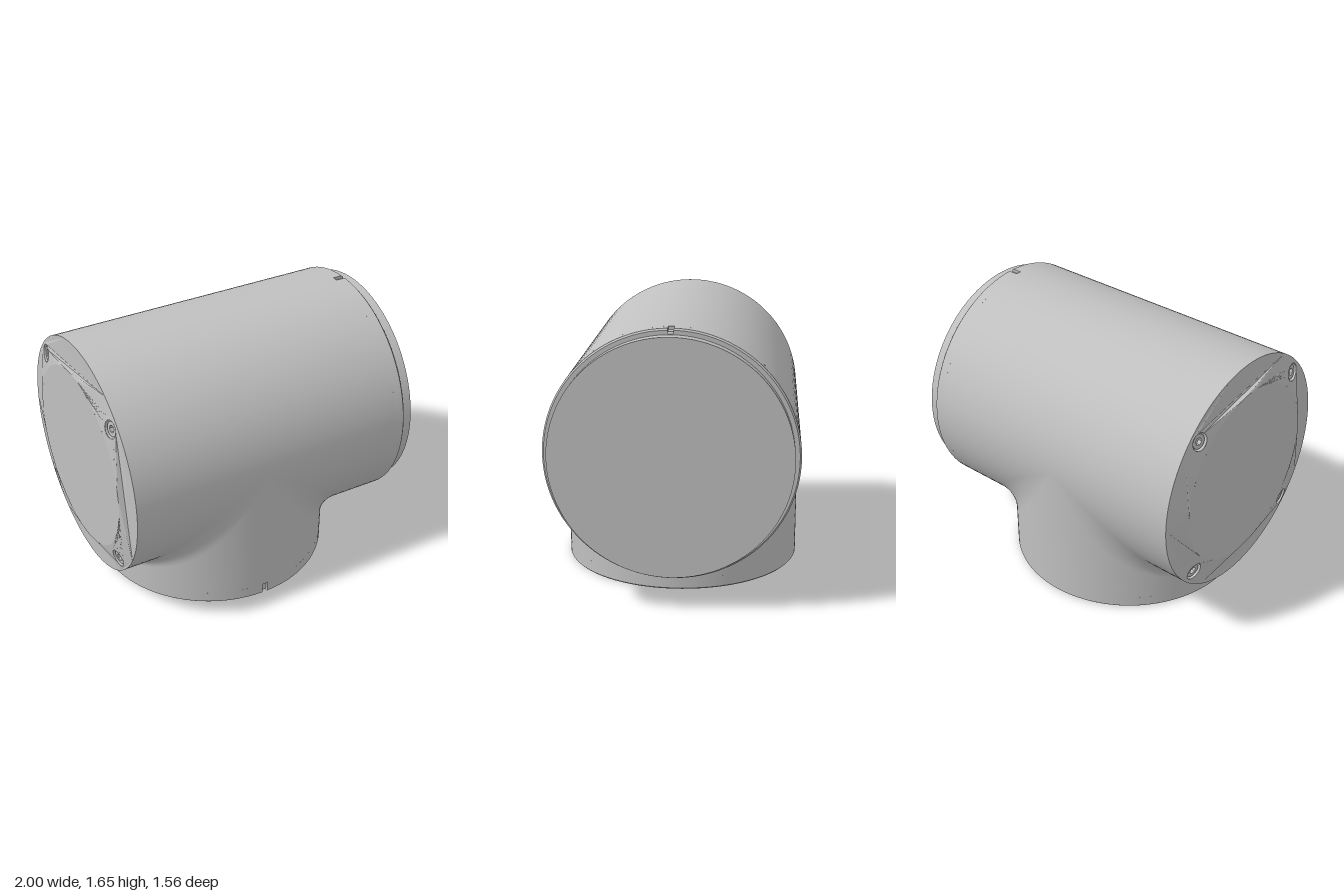
import * as THREE from 'three';
import { toCreasedNormals } from 'three/addons/utils/BufferGeometryUtils.js';

const R = 0.7425;          // radius shared by barrel and outlet
const AXIS_Y = 0.9125;     // height of the barrel axis
const SEG = 128;

const grey = new THREE.MeshStandardMaterial({ color: 0xc0c0c0, side: THREE.DoubleSide });
grey.name = 'satin grey';

function add(parent, name, geometry, crease = 0.15) {
  const mesh = new THREE.Mesh(crease ? toCreasedNormals(geometry, crease) : geometry, grey);
  mesh.name = name;
  parent.add(mesh);
  return mesh;
}

const lathe = (pts, seg = SEG) =>
  new THREE.LatheGeometry(pts.map(([r, y]) => new THREE.Vector2(r, y)), seg);
// Lathe turned so its axis runs along +x
const latheX = (pts, seg) => lathe(pts, seg).rotateZ(-Math.PI / 2);

// Annular slab along +z with small notches in its rim; its far edge may be chamfered
function notchedRing(notches, inner, height, chamfer) {
  const pts = [];
  const half = 0.0175 / R;
  const polar = (r, a) => pts.push(new THREE.Vector2(r * Math.cos(a), r * Math.sin(a)));
  notches.forEach((a, i) => {
    const next = i + 1 < notches.length ? notches[i + 1] : notches[0] + 2 * Math.PI;
    polar(R - 0.02, a - half);
    polar(R - 0.02, a + half);
    const from = a + half, to = next - half;
    const n = Math.ceil((to - from) / (2 * Math.PI) * SEG);
    for (let k = 0; k <= n; k++) polar(R, from + (to - from) * k / n);
    polar(R - 0.02, to);
  });
  pts.pop();
  const shape = new THREE.Shape(pts);
  shape.holes.push(new THREE.Path().absarc(0, 0, inner, 0, 2 * Math.PI, true));
  const g = new THREE.ExtrudeGeometry(shape, { depth: height, bevelEnabled: false, curveSegments: SEG });
  const p = g.attributes.position;
  for (let i = 0; i < p.count; i++) {
    const x = p.getX(i), y = p.getY(i);
    if (p.getZ(i) > height - 1e-4 && Math.hypot(x, y) > inner + 0.005) {
      p.setXY(i, x * (1 - chamfer / R), y * (1 - chamfer / R));
    }
  }
  return g;
}

// Blend between barrel and outlet on one side, opening out toward the flanks
function blend(sign) {
  const n = 96, m = 14, pos = [], index = [];
  for (let i = 0; i <= n; i++) {
    const t = Math.PI * i / n, s = Math.sin(t), c = Math.cos(t);
    const r = 0.03 + 0.6 * Math.pow(1 - s, 1.3);
    const C = new THREE.Vector3(sign * (R + r) * s, -(R + r) * s, (R + r) * c);
    const onBarrel = new THREE.Vector3(C.x, -R * s, R * c).sub(C);
    const onOutlet = new THREE.Vector3(sign * R * s, C.y, R * c).sub(C);
    for (let j = 0; j <= m; j++) {
      const d = onBarrel.clone().lerp(onOutlet, j / m).setLength(r).add(C);
      pos.push(d.x, d.y, d.z);
      if (i < n && j < m) {
        const a = i * (m + 1) + j, b = a + m + 1;
        if (sign > 0) index.push(a, a + 1, b, b, a + 1, b + 1);
        else index.push(a, b, a + 1, b, b + 1, a + 1);
      }
    }
  }
  const g = new THREE.BufferGeometry();
  g.setAttribute('position', new THREE.Float32BufferAttribute(pos, 3));
  g.setIndex(index);
  g.computeVertexNormals();
  return g;
}

// Recessed socket screw; outward is -x
function makeScrew() {
  const screw = new THREE.Group();
  screw.name = 'screw';
  add(screw, 'screwRecess', latheX([[0.055, 0], [0.055, 0.035], [0, 0.035]], 32), 0.4);
  const head = new THREE.Shape().absarc(0, 0, 0.045, 0, 2 * Math.PI);
  const socket = [];
  for (let k = 0; k < 6; k++) {
    const a = -k * Math.PI / 3;
    socket.push(new THREE.Vector2(0.024 * Math.cos(a), 0.024 * Math.sin(a)));
  }
  head.holes.push(new THREE.Path(socket));
  const g = new THREE.ExtrudeGeometry(head, { depth: 0.025, bevelEnabled: false, curveSegments: 32 });
  add(screw, 'screwHead', g.rotateY(-Math.PI / 2).translate(0.035, 0, 0), 0.4);
  return screw;
}

export function createModel() {
  const model = new THREE.Group();
  model.name = 'teeHousing';
  // Everything sits in one frame centred where the two axes cross
  const body = new THREE.Group();
  body.name = 'housing';
  body.position.set(-0.087, AXIS_Y, 0);
  body.rotation.y = 0.04;
  model.add(body);

  // Horizontal barrel with a notched, chamfered right end
  const xBevel = -0.858, xCover = -0.893, rCover = 0.57;
  add(body, 'barrel', latheX([[R, xBevel], [R, 0.915], [0.68, 0.915]]));
  const barrelNotches = [Math.PI / 2, 3 * Math.PI / 2];
  add(body, 'barrelRim', notchedRing(barrelNotches, 0.68, 0.06, 0)
    .rotateY(Math.PI / 2).translate(0.915, 0, 0));
  add(body, 'barrelRimChamfer', notchedRing(barrelNotches, 0.68, 0.01, 0.01)
    .rotateY(Math.PI / 2).translate(0.975, 0, 0));
  add(body, 'endFlange', latheX([[0.707, 0.98], [0.707, 1.057], [0, 1.057]]));

  // Flat cover with a sloped ring holding four screws
  add(body, 'endCover', latheX([[0, xCover], [rCover, xCover]]));
  const ring = new THREE.Shape().absarc(0, 0, R, 0, 2 * Math.PI);
  ring.holes.push(new THREE.Path().absarc(0, 0, rCover, 0, 2 * Math.PI, true));
  const rScrew = 0.665, slope = (xBevel - xCover) / (R - rCover);
  const angles = [1, 3, 5, 7].map((k) => k * Math.PI / 4);
  for (const a of angles) {
    ring.holes.push(new THREE.Path().absarc(
      rScrew * Math.cos(a), rScrew * Math.sin(a), 0.055, 0, 2 * Math.PI, true));
  }
  const bevel = new THREE.ShapeGeometry(ring, SEG).rotateY(-Math.PI / 2);
  const p = bevel.attributes.position;
  for (let i = 0; i < p.count; i++) {
    p.setX(i, xCover + (Math.hypot(p.getY(i), p.getZ(i)) - rCover) * slope);
  }
  add(body, 'slopedRing', bevel);
  for (const a of angles) {
    const arm = new THREE.Group();
    arm.name = 'screwMount';
    arm.rotation.x = a;
    const screw = makeScrew();
    screw.position.set(xCover + (rScrew - rCover) * slope, rScrew, 0);
    screw.rotation.z = -Math.atan(slope);
    arm.add(screw);
    body.add(arm);
  }

  // Downward outlet with notched rim and shallow recess
  const floor = -AXIS_Y;
  const outletNotches = [Math.PI / 2, Math.PI];
  add(body, 'outlet', lathe([[0.69, floor + 0.075], [R, floor + 0.075], [R, 0]]));
  add(body, 'outletRim', notchedRing(outletNotches, 0.695, 0.067, 0)
    .rotateX(Math.PI / 2).translate(0, floor + 0.075, 0));
  add(body, 'outletRimChamfer', notchedRing(outletNotches, 0.695, 0.008, 0.008)
    .rotateX(Math.PI / 2).translate(0, floor + 0.008, 0));
  add(body, 'outletPlate', lathe([[0, floor + 0.055], [0.7, floor + 0.055]]));

  // Blends on both sides of the outlet
  add(body, 'blendLeft', blend(1), 0);
  add(body, 'blendRight', blend(-1), 0);
  return model;
}
